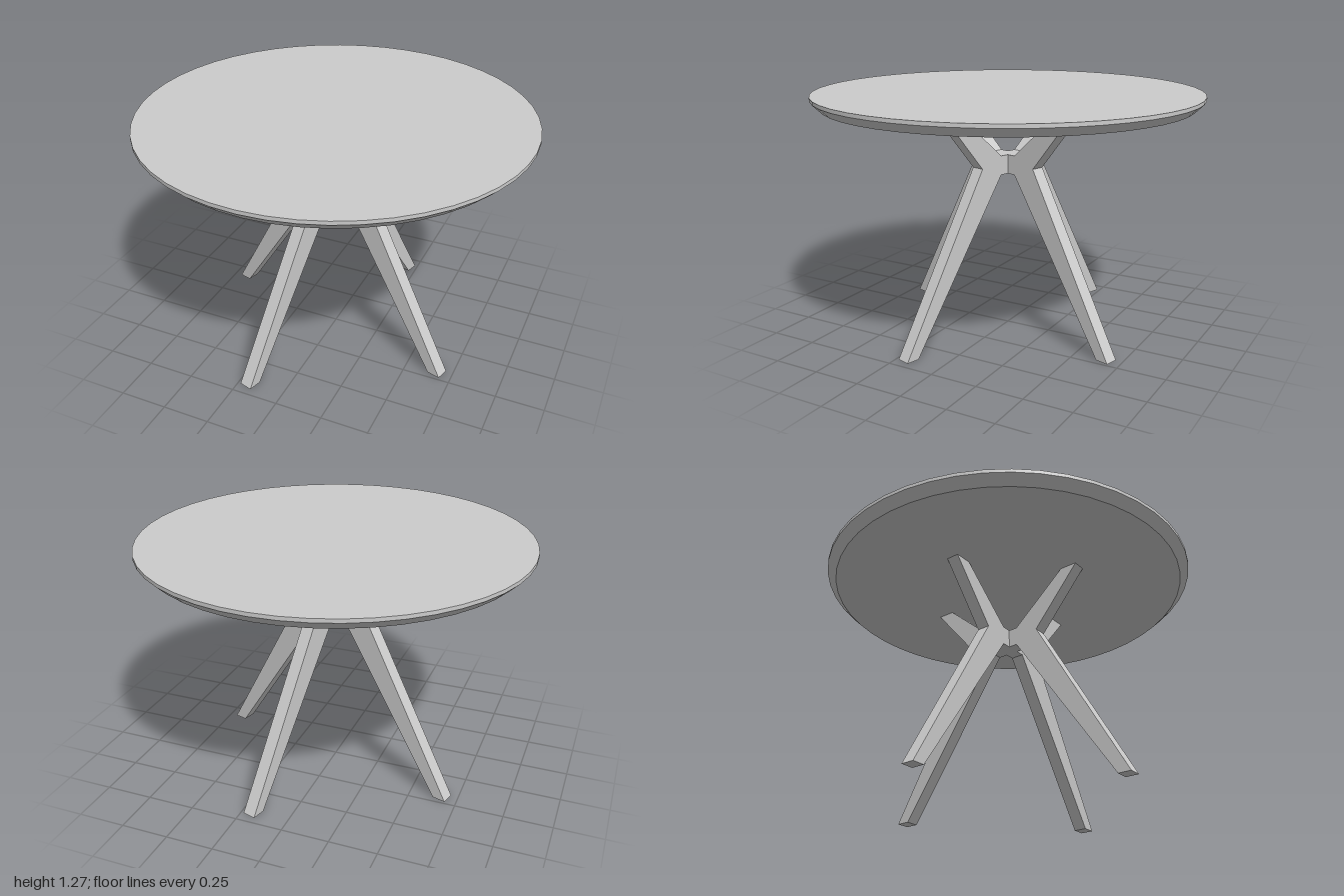
import * as THREE from 'three';
import { toCreasedNormals } from 'three/addons/utils/BufferGeometryUtils.js';

export function createModel() {
  const model = new THREE.Group();
  model.name = 'roundTable';
  const material = new THREE.MeshStandardMaterial({ color: 0xcccccc });
  const add = (name, geometry, parent) => {
    const mesh = new THREE.Mesh(geometry, material);
    mesh.name = name;
    parent.add(mesh);
    return mesh;
  };

  const thickness = 0.07;
  const topBottom = 1.21;
  const topHeight = 1.274;

  // Round top with an undercut bevel below a thin vertical rim
  const profile = [
    [0, topBottom], [0.953, topBottom], [1, 1.255], [1, topHeight], [0, topHeight],
  ].map(([r, y]) => new THREE.Vector2(r, y));
  add('tableTop', toCreasedNormals(new THREE.LatheGeometry(profile, 48), 0.5), model);

  // Four bent legs pinwheeling out from a square hub
  const base = new THREE.Group();
  base.name = 'base';
  base.rotation.y = THREE.MathUtils.degToRad(-16);
  model.add(base);

  const hub = add('hub', new THREE.BoxGeometry(thickness, 0.1, thickness), base);
  hub.position.y = 0.9;

  // Leg outline: radius from the centre against height
  const outline = [
    [thickness / 2, 0.85], [0.083, 0.85], [0.66, 0], [0.73, 0], [0.214, 0.9],
    [0.476, topBottom], [0.383, topBottom], [0.083, 0.95], [thickness / 2, 0.95],
  ].map(([r, y]) => new THREE.Vector2(r, y));
  const legGeometry = new THREE.ExtrudeGeometry(new THREE.Shape(outline), {
    depth: thickness, bevelEnabled: false,
  });
  legGeometry.translate(0, 0, -thickness / 2);

  ['leftLeg', 'backLeg', 'rightLeg', 'frontLeg'].forEach((name, i) => {
    add(name, legGeometry, base).rotation.y = i * Math.PI / 2;
  });

  return model;
}
